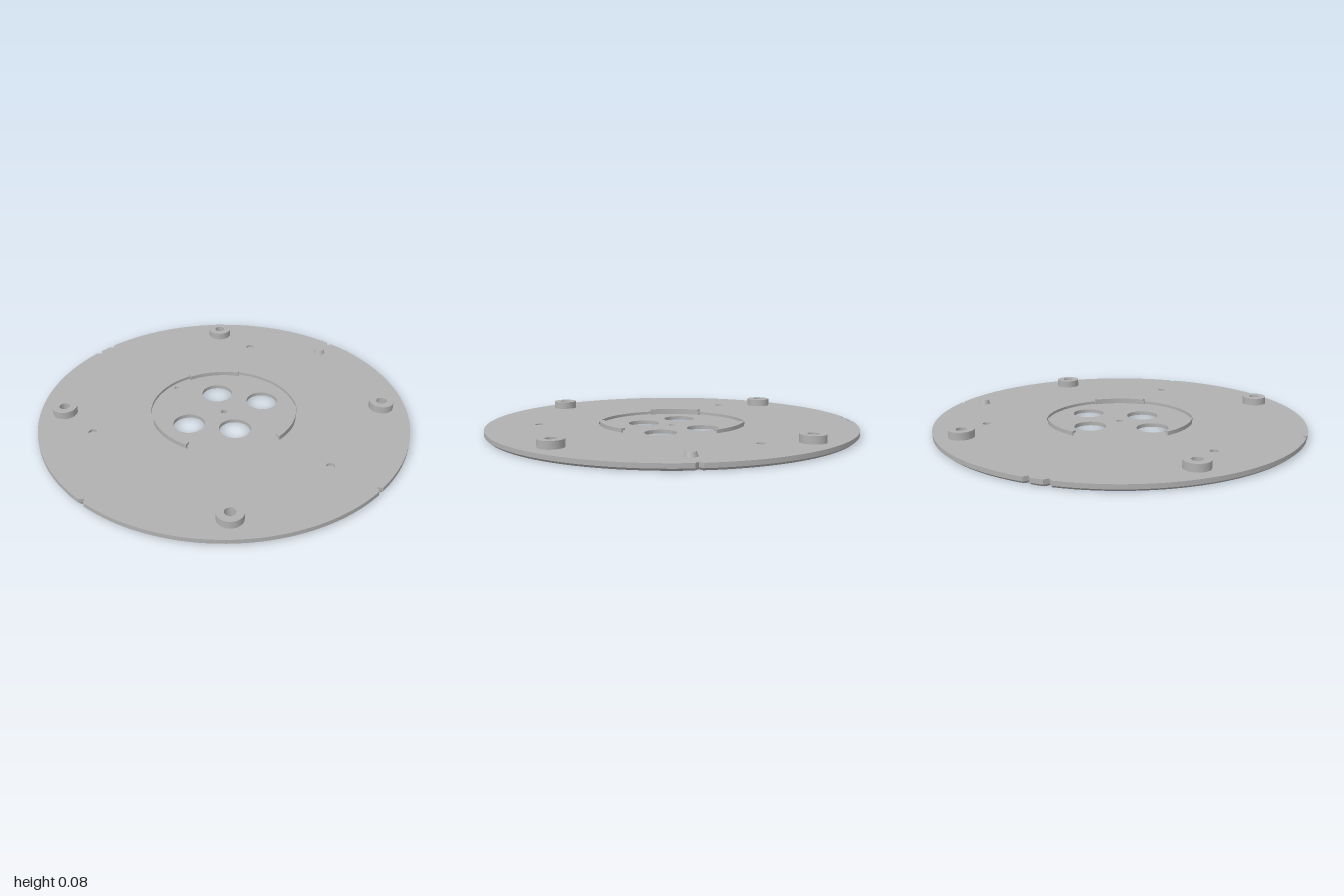
import * as THREE from 'three';
import { toCreasedNormals } from 'three/addons/utils/BufferGeometryUtils.js';

const TOP = 0.035, FLOOR = 0.02, CHAMFER = 0.012, INSET = 0.986;
const RECESS_R = 0.4;
const VENTS = [[-0.21, -0.06], [0.11, -0.155], [0.225, 0.08], [-0.075, 0.15]];
const BOSSES = [[-0.612, -0.612], [0.612, -0.612], [-0.612, 0.612], [0.612, 0.612]];
const DIMPLES = [90, 210, 330].map((d) => {
  const a = THREE.MathUtils.degToRad(d);
  return [0.72 * Math.cos(a), 0.72 * Math.sin(a)];
});
const KEY_HOLE = [-0.01, -0.365];

// Points of a circle in the ground plane, as (x, z)
function circle(x, z, r, n) {
  return Array.from({ length: n }, (_, i) => {
    const a = (i / n) * Math.PI * 2;
    return new THREE.Vector2(x + r * Math.cos(a), z + r * Math.sin(a));
  });
}

// Rim outline with small V notches
function rimOutline() {
  const notches = [-1.641, -1.541, -0.02, 1.551, 3.112];
  const half = 0.018, n = 160, list = [];
  for (let i = 0; i < n; i++) {
    const a = -Math.PI + ((i + 0.5) / n) * Math.PI * 2;
    if (notches.every((k) => Math.abs(a - k) > half + 0.004)) list.push([a, 1]);
  }
  notches.forEach((k) => list.push([k - half, 1], [k, 0.978], [k + half, 1]));
  list.sort((p, q) => p[0] - q[0]);
  return list.map(([a, r]) => new THREE.Vector2(r * Math.cos(a), r * Math.sin(a)));
}

// Flat sheet at height y, facing up or down
function sheet(outline, holes, y, up) {
  const flip = (pts) => pts.map((p) => new THREE.Vector2(p.x, up ? -p.y : p.y));
  const shape = new THREE.Shape(flip(outline));
  shape.holes = holes.map((h) => new THREE.Path(flip(h)));
  const g = new THREE.ShapeGeometry(shape);
  g.rotateX(up ? -Math.PI / 2 : Math.PI / 2);
  return g.translate(0, y, 0);
}

// Outward wall through scaled copies of an outline: levels are [y, scale]
function loft(outline, levels) {
  const pos = [], index = [], n = outline.length;
  levels.forEach(([y, s]) => outline.forEach((p) => pos.push(p.x * s, y, p.y * s)));
  for (let l = 0; l < levels.length - 1; l++) {
    for (let i = 0; i < n; i++) {
      const a = l * n + i, b = l * n + ((i + 1) % n);
      index.push(a, a + n, b, b, a + n, b + n);
    }
  }
  const g = new THREE.BufferGeometry();
  g.setAttribute('position', new THREE.Float32BufferAttribute(pos, 3));
  g.setIndex(index);
  return toCreasedNormals(g, 0.4);
}

// Turned surface; rising profiles face outward, falling ones inward
function turned(profile, n) {
  const g = new THREE.LatheGeometry(profile.map(([r, y]) => new THREE.Vector2(r, y)), n);
  return toCreasedNormals(g, 0.4);
}

// Upright block following an arc of the recess
function arcBlock(r0, r1, y0, y1) {
  const a0 = THREE.MathUtils.degToRad(-90), a1 = THREE.MathUtils.degToRad(-46);
  const shape = new THREE.Shape();
  shape.absarc(0, 0, r1, a0, a1, false);
  shape.absarc(0, 0, r0, a1, a0, true);
  const g = new THREE.ExtrudeGeometry(shape, { depth: y1 - y0, bevelEnabled: false, curveSegments: 16 });
  g.rotateX(-Math.PI / 2).translate(0, y0, 0);
  return toCreasedNormals(g, 0.4);
}

export function createModel() {
  const model = new THREE.Group();
  model.name = 'mountingPlate';
  const grey = new THREE.MeshStandardMaterial({ color: 0xb0b0b0 });
  grey.name = 'grey';

  const add = (name, geometry, [x, z] = [0, 0], parent = model) => {
    const mesh = new THREE.Mesh(geometry, grey);
    mesh.name = name;
    mesh.position.set(x, 0, z);
    parent.add(mesh);
    return mesh;
  };
  const holes = (spots, r, n) => spots.map(([x, z]) => circle(x, z, r, n));

  // Plate faces and chamfered rim
  const rim = rimOutline();
  add('plateTop', sheet(rim, [
    circle(0, 0, RECESS_R, 96), ...holes(BOSSES, 0.066, 40), ...holes(DIMPLES, 0.022, 20),
  ], TOP, true));
  add('plateBottom', sheet(rim.map((p) => p.clone().multiplyScalar(INSET)), [
    ...holes(VENTS, 0.085, 48), ...holes(BOSSES, 0.045, 40), circle(0, 0, 0.018, 20),
  ], 0, false));
  add('plateRim', loft(rim, [[0, INSET], [CHAMFER, 1], [TOP, 1]]));

  // Central recess
  add('recessFloor', sheet(circle(0, 0, RECESS_R, 96), [
    ...holes(VENTS, 0.085, 48), circle(0, 0, 0.018, 20), circle(...KEY_HOLE, 0.013, 16),
  ], FLOOR, true));
  add('recessWall', turned([[RECESS_R, TOP], [RECESS_R, FLOOR]], 96));
  VENTS.forEach((v) => add('ventHole', turned([[0.085, FLOOR], [0.085, 0]], 48), v));
  add('centreHole', turned([[0.018, FLOOR], [0.018, 0]], 20));
  add('keyHole', turned([[0.013, FLOOR], [0.013, 0.01], [0, 0.01]], 16), KEY_HOLE);

  // Screw bosses with countersunk bores
  BOSSES.forEach((b) => add('screwBoss', turned([
    [0.066, TOP], [0.066, 0.075], [0.028, 0.075], [0.028, 0.025], [0.045, 0],
  ], 40), b));

  // Blind holes and locating pin
  DIMPLES.forEach((d) => add('blindHole', turned([[0.022, TOP], [0.022, 0.022], [0, 0.022]], 20), d));
  add('locatingPin', turned([[0.033, TOP], [0.025, 0.058], [0, 0.058]], 24), [0.865, 0]);

  // Three bayonet tabs: a curved wall with an inward lip
  for (let i = 0; i < 3; i++) {
    const tab = new THREE.Group();
    tab.name = 'bayonetTab';
    add('tabWall', arcBlock(0.384, 0.394, FLOOR, 0.043), [0, 0], tab);
    add('tabLip', arcBlock(0.367, 0.394, 0.043, 0.053), [0, 0], tab);
    tab.rotation.y = (i * Math.PI * 2) / 3;
    model.add(tab);
  }
  return model;
}
